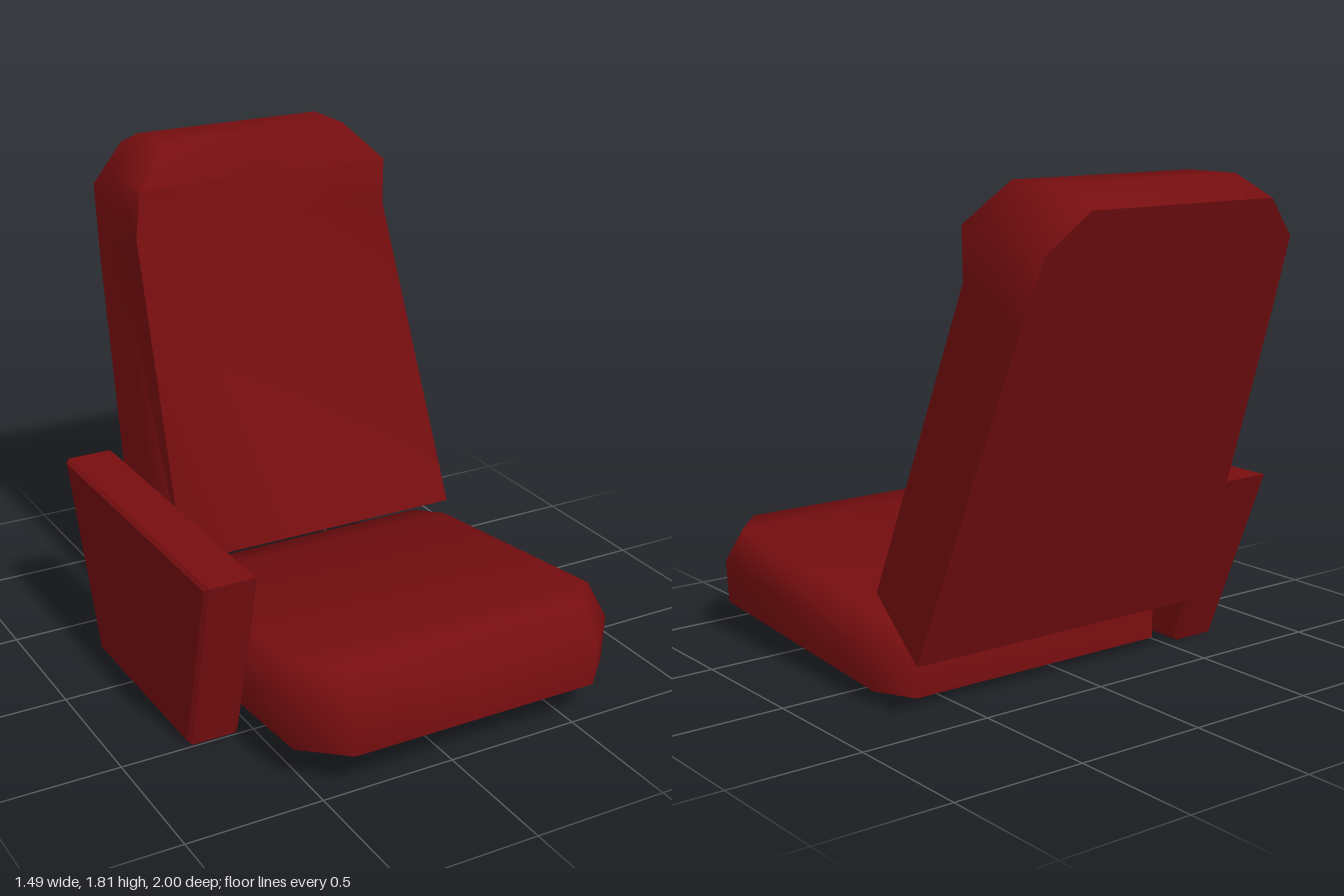
import * as THREE from 'three';
import { toCreasedNormals } from 'three/addons/utils/BufferGeometryUtils.js';

const CENTRE = 0.1; // the seat sits beside the armrest, so it is off the middle

// Skin a stack of mirrored rings, bottom to top, and cap both ends.
// Each ring: [halfWidth, y, z] from rear to front, ending on the centre line (halfWidth 0).
function loft(sections) {
  const k = sections[0].length - 1;
  const n = 2 * k + 1;
  const pos = [];
  const idx = [];
  for (const half of sections) {
    const mirrored = half.slice(0, k).reverse().map(([x, y, z]) => [-x, y, z]);
    for (const [x, y, z] of [...half, ...mirrored]) pos.push(x + CENTRE, y, z);
  }
  for (let s = 0; s < sections.length - 1; s++) {
    for (let i = 0; i < n; i++) {
      const j = (i + 1) % n;
      const a = s * n + i, b = s * n + j;
      idx.push(a, a + n, b + n, a, b + n, b);
    }
  }
  const top = (sections.length - 1) * n;
  const cap = (a, b, c) => {
    idx.push(a, b, c);
    idx.push(top + a, top + c, top + b);
  };
  for (let i = 0; i < k - 1; i++) {
    cap(i, i + 1, n - 2 - i);
    cap(i, n - 2 - i, n - 1 - i);
  }
  cap(k - 1, k, k + 1);

  const geo = new THREE.BufferGeometry();
  geo.setAttribute('position', new THREE.Float32BufferAttribute(pos, 3));
  geo.setIndex(idx);
  return toCreasedNormals(geo, 1.45);
}

// Cushion ring with cut corners, tilted from rear to front
function cushionRing(zr, yr, zf, yf, h, rearCut, frontCut) {
  const at = (x, z) => [x, yr + (yf - yr) * (z - zr) / (zf - zr), z];
  return [
    at(h - rearCut * 0.7, zr), at(h, zr + rearCut),
    at(h, zf - frontCut), at(h - frontCut, zf), at(0, zf),
  ];
}

export function createModel() {
  const group = new THREE.Group();
  const upholstery = new THREE.MeshStandardMaterial({ color: 0x780e10 });
  upholstery.name = 'dark red upholstery';

  const add = (name, geometry) => {
    const mesh = new THREE.Mesh(geometry, upholstery);
    mesh.name = name;
    group.add(mesh);
  };

  // Seat cushion: rises toward the front, rounded off along the upper edge
  add('seatCushion', loft([
    cushionRing(-0.28, 0.035, 1.0, 0.13, 0.63, 0.13, 0.15),
    cushionRing(-0.265, 0.17, 1.0, 0.30, 0.643, 0.13, 0.155),
    cushionRing(-0.25, 0.285, 0.91, 0.425, 0.59, 0.11, 0.11),
  ]));

  // Backrest: flat rear, leaning back, with a thicker, slightly hollowed headrest
  add('backrest', loft([
    [[0.63, 0.205, -0.42], [0.603, 0.29, -0.26], [0.575, 0.375, -0.10], [0, 0.375, -0.10]],
    [[0.545, 1.35, -0.853], [0.535, 1.42, -0.70], [0.525, 1.49, -0.545], [0, 1.49, -0.56]],
    [[0.52, 1.605, -0.949], [0.525, 1.675, -0.76], [0.515, 1.67, -0.525], [0, 1.67, -0.565]],
    [[0.38, 1.74, -1.0], [0.38, 1.81, -0.83], [0.38, 1.81, -0.61], [0, 1.81, -0.635]],
  ]));

  // Armrest: slanted panel on one side with thin bevelled edges
  const profile = new THREE.Shape([
    [0.49, 0], [0.655, 0.675], [-0.555, 0.675], [-0.28, 0],
  ].map(([z, y]) => new THREE.Vector2(z, y)));
  const bevel = 0.014;
  const armrest = new THREE.ExtrudeGeometry(profile, {
    depth: 0.195 - 2 * bevel,
    bevelThickness: bevel, bevelSize: bevel, bevelOffset: -bevel, bevelSegments: 1,
  });
  armrest.rotateY(-Math.PI / 2);
  armrest.translate(-0.55 - bevel, 0, 0);
  add('armrest', armrest);

  return group;
}
